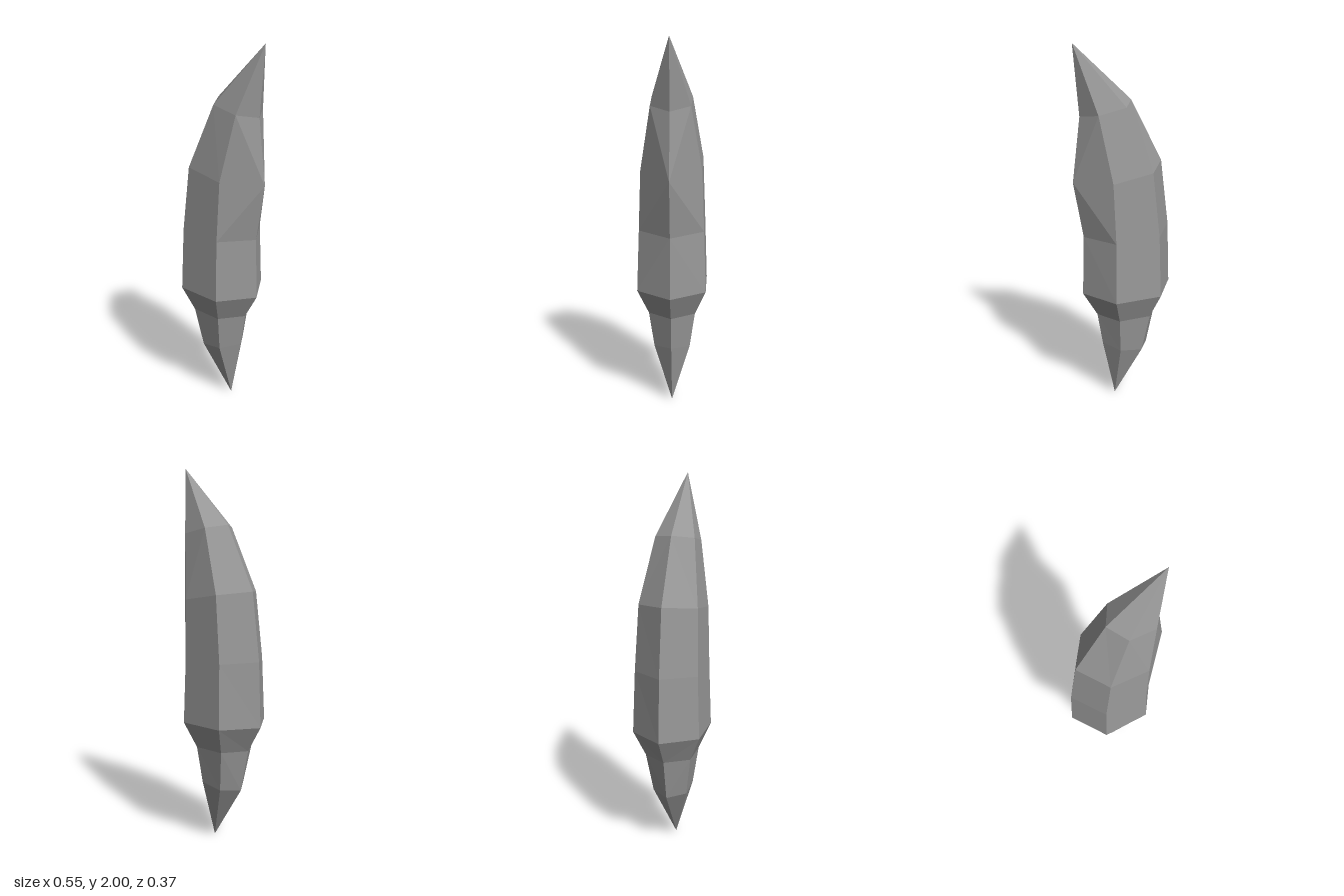
import * as THREE from 'three';

// Each ring: [x, y, z] of left edge, two front corners, right edge; the back mirrors the front
const RINGS = [
  [[-0.14, 0.295, 0], [-0.075, 0.305, 0.094], [0.05, 0.325, 0.097], [0.12, 0.34, 0]],
  [[-0.19, 0.525, 0], [-0.11, 0.525, 0.125], [0.065, 0.525, 0.125], [0.15, 0.525, 0]],
  [[-0.273, 0.665, 0], [-0.148, 0.665, 0.183], [0.105, 0.665, 0.183], [0.23, 0.665, 0]],
  [[-0.26, 1.01, 0], [-0.14, 1.005, 0.171], [0.10, 1.0, 0.171], [0.22, 0.995, 0]],
  [[-0.215, 1.37, 0], [-0.105, 1.355, 0.158], [0.11, 1.32, 0.159], [0.272, 1.30, 0]],
  [[-0.045, 1.705, 0], [0.02, 1.69, 0.105], [0.165, 1.66, 0.102], [0.23, 1.64, 0]],
];
const BOTTOM = [0.05, 0, 0];
const TOP = [0.26, 2, 0];

function createShard() {
  const mirrorZ = ([x, y, z]) => [x, y, -z];
  const rings = RINGS.map((r) => [...r, mirrorZ(r[2]), mirrorZ(r[1])]);
  const pos = [];
  const tri = (a, b, c) => pos.push(...a, ...b, ...c);

  // Faceted walls between neighbouring rings, with diagonals mirrored front to back
  for (let i = 0; i < rings.length - 1; i++) {
    for (let j = 0; j < 6; j++) {
      const k = (j + 1) % 6;
      const a = rings[i][j], b = rings[i][k], c = rings[i + 1][j], d = rings[i + 1][k];
      const rising = (j < 3) !== (i === 4);
      if (rising) { tri(a, b, d); tri(a, d, c); }
      else { tri(a, b, c); tri(b, d, c); }
    }
  }

  // Pointed ends
  const last = rings[rings.length - 1];
  for (let j = 0; j < 6; j++) {
    const k = (j + 1) % 6;
    tri(BOTTOM, rings[0][k], rings[0][j]);
    tri(last[j], last[k], TOP);
  }

  const geometry = new THREE.BufferGeometry();
  geometry.setAttribute('position', new THREE.Float32BufferAttribute(pos, 3));
  geometry.computeVertexNormals();
  return geometry;
}

export function createModel() {
  const model = new THREE.Group();
  model.name = 'crystalShard';
  const material = new THREE.MeshStandardMaterial({ color: 0x999999, flatShading: true });
  const shard = new THREE.Mesh(createShard(), material);
  shard.name = 'shardBody';
  model.add(shard);
  return model;
}
